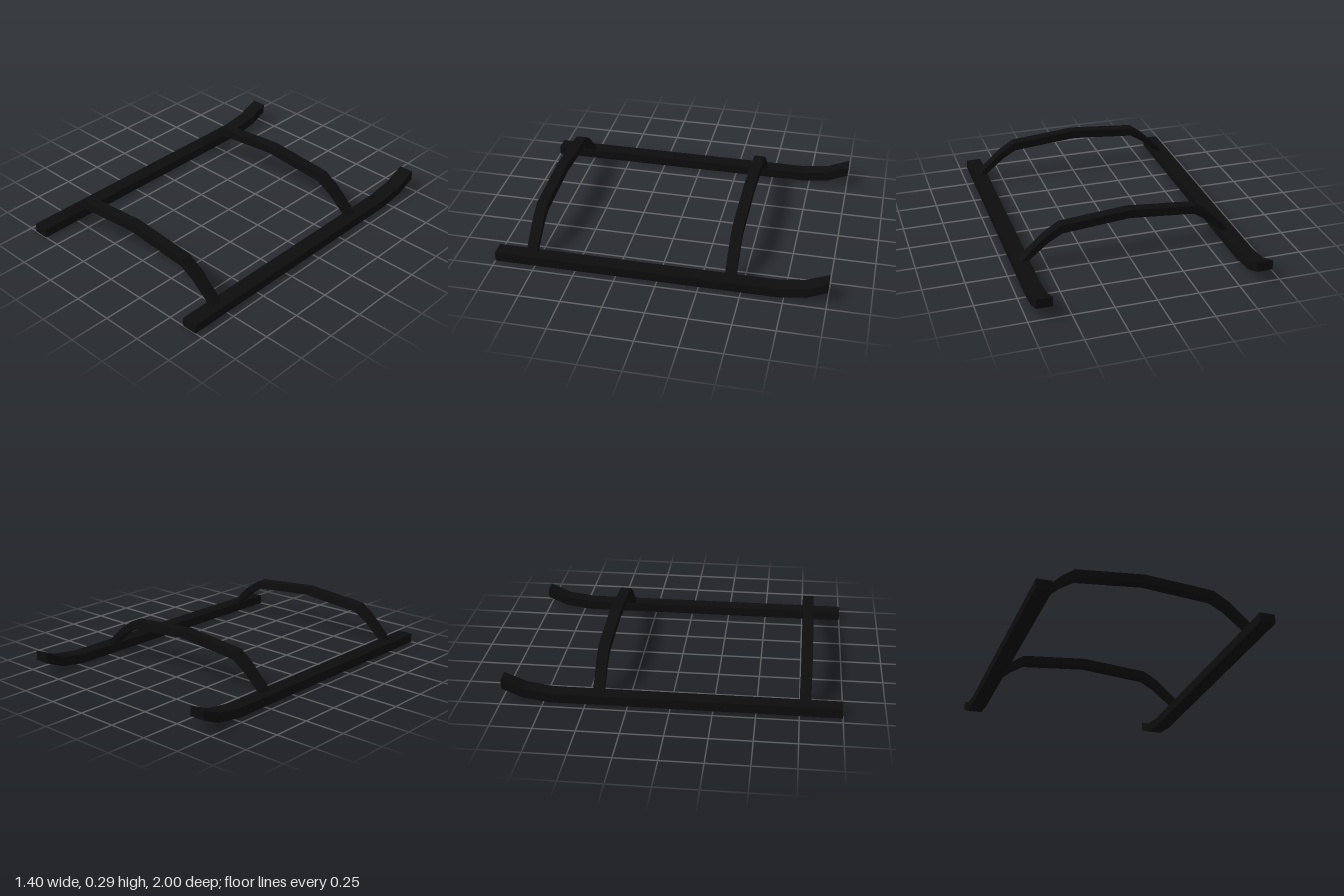
import * as THREE from 'three';

const material = new THREE.MeshStandardMaterial({ color: 0x0d0d0d, flatShading: true });

// Flat bar cut from an upper and a lower outline, extruded about its mid-plane
function bar(name, upper, lower, width) {
  const outline = [...lower, ...[...upper].reverse()].map(([x, y]) => new THREE.Vector2(x, y));
  const geometry = new THREE.ExtrudeGeometry(new THREE.Shape(outline), { depth: width, bevelEnabled: false });
  geometry.translate(0, 0, -width / 2);
  const mesh = new THREE.Mesh(geometry, material);
  mesh.name = name;
  return mesh;
}

export function createModel() {
  const model = new THREE.Group();
  model.name = 'landingSkids';

  // Long runners with one end curving upward
  const runnerTop = [[-1, 0.057], [0.705, 0.057], [0.865, 0.08], [1, 0.136]];
  const runnerBottom = [[-1, 0], [0.715, 0], [0.88, 0.024], [1, 0.076]];
  for (const [name, side] of [['leftRunner', 1], ['rightRunner', -1]]) {
    const runner = bar(name, runnerTop, runnerBottom, 0.095);
    runner.rotation.y = Math.PI / 2;
    runner.position.x = side * 0.6525;
    model.add(runner);
  }

  // Arched cross bars, their feet sunk into the runners
  const archTop = [[-0.66, 0.05], [-0.61, 0.104], [-0.51, 0.203], [-0.43, 0.259], [-0.01, 0.295],
    [0.41, 0.259], [0.505, 0.2], [0.61, 0.104], [0.66, 0.05]];
  const archBottom = [[-0.645, 0.025], [-0.6, 0.07], [-0.5, 0.158], [-0.42, 0.207], [-0.01, 0.243],
    [0.403, 0.207], [0.49, 0.158], [0.6, 0.067], [0.645, 0.025]];
  for (const [name, z] of [['frontCrossBar', 0.782], ['rearCrossBar', -0.428]]) {
    const arch = bar(name, archTop, archBottom, 0.066);
    arch.position.z = z;
    model.add(arch);
  }

  return model;
}
